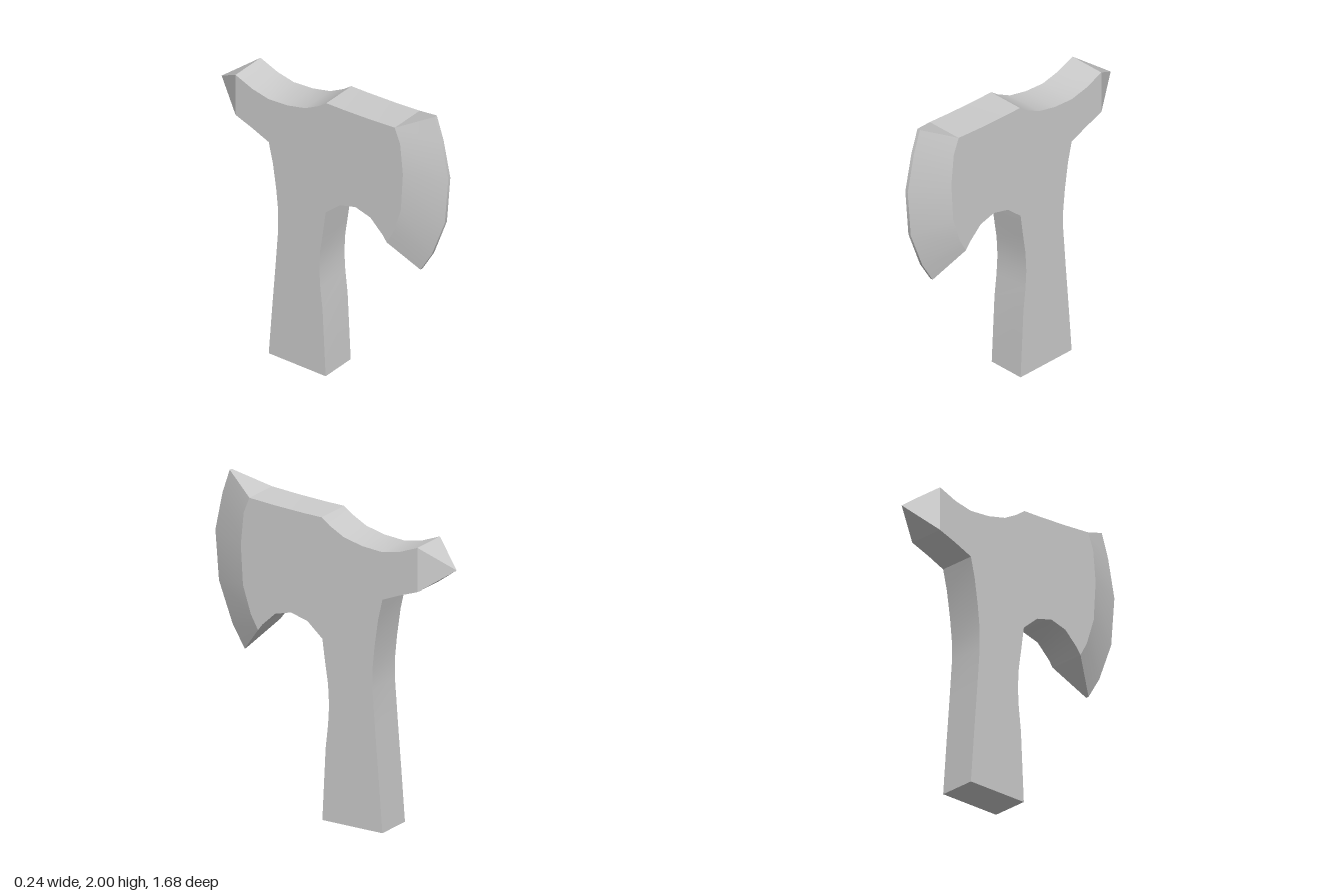
import * as THREE from 'three';
import { toCreasedNormals } from 'three/addons/utils/BufferGeometryUtils.js';

const HALF = 0.12;      // half thickness of the body
const EDGE_HALF = 0.01; // half thickness of the cutting edge

// Profiles as [z, y], running from top to bottom
const shoulder = [[0.53, 1.9], [0.57, 1.8], [0.59, 1.6], [0.575, 1.35], [0.52, 1.18], [0.47, 1.09]];
const edge = [[0.74, 2], [0.79, 1.85], [0.84, 1.61], [0.815, 1.3], [0.72, 1.05], [0.635, 0.91]];

function makeMesh(name, geometry, flatShading = false) {
  const mesh = new THREE.Mesh(geometry, new THREE.MeshStandardMaterial({ color: 0xcccccc, flatShading }));
  mesh.name = name;
  return mesh;
}

// Handle and head share one flat-sided outline
function bodyGeometry() {
  const outline = [
    // back of the handle
    [0.02, 0], [-0.4, 0], [-0.375, 0.32], [-0.35, 0.62], [-0.33, 0.88], [-0.33, 1],
    [-0.345, 1.15], [-0.37, 1.32], [-0.4, 1.45],
    // rear arm
    [-0.52, 1.5], [-0.645, 1.545], [-0.645, 1.82], [-0.52, 1.77], [-0.4, 1.745],
    [-0.26, 1.755], [-0.13, 1.785], [-0.03, 1.838],
    // top of the head
    [0.025, 1.878], [0.15, 1.88], [0.35, 1.888],
    ...shoulder,
    // arch under the head
    [0.44, 1.13], [0.35, 1.215], [0.24, 1.245], [0.125, 1.215], [0.02, 1.125],
    // front of the handle
    [0, 0.98], [-0.02, 0.85], [-0.027, 0.72], [-0.02, 0.6], [-0.003, 0.45],
  ];
  const shape = new THREE.Shape(outline.map(([z, y]) => new THREE.Vector2(z, y)));
  const geometry = new THREE.ExtrudeGeometry(shape, { depth: HALF * 2, bevelEnabled: false });
  geometry.rotateY(-Math.PI / 2).translate(HALF, 0, 0);
  return toCreasedNormals(geometry, 0.5);
}

// Wedge lofted from the shoulder to the cutting edge
function bladeGeometry() {
  const positions = [];
  const indices = [];
  shoulder.forEach(([z, y], i) => {
    const [ez, ey] = edge[i];
    positions.push(HALF, y, z, EDGE_HALF, ey, ez, -EDGE_HALF, ey, ez, -HALF, y, z);
  });
  const last = (shoulder.length - 1) * 4;
  for (let row = 0; row < last; row += 4) {
    for (let j = 0; j < 3; j++) {
      const a = row + j, b = a + 1, c = a + 4, d = a + 5;
      indices.push(a, b, c, b, d, c);
    }
  }
  indices.push(0, 3, 2, 0, 2, 1);
  indices.push(last, last + 1, last + 2, last, last + 2, last + 3);
  const geometry = new THREE.BufferGeometry();
  geometry.setAttribute('position', new THREE.Float32BufferAttribute(positions, 3));
  geometry.setIndex(indices);
  return toCreasedNormals(geometry, 0.5);
}

// Four-sided point on the rear arm
function spikeGeometry() {
  const geometry = new THREE.ConeGeometry(Math.SQRT1_2, 1, 4, 1);
  geometry.rotateY(Math.PI / 4).rotateX(-Math.PI / 2);
  geometry.scale(HALF * 2, 0.275, 0.195);
  return geometry.translate(0, 1.6825, -0.7425);
}

export function createModel() {
  const group = new THREE.Group();
  group.name = 'axe';
  group.add(
    makeMesh('handleAndHead', bodyGeometry()),
    makeMesh('blade', bladeGeometry()),
    makeMesh('rearSpike', spikeGeometry(), true),
  );
  return group;
}
